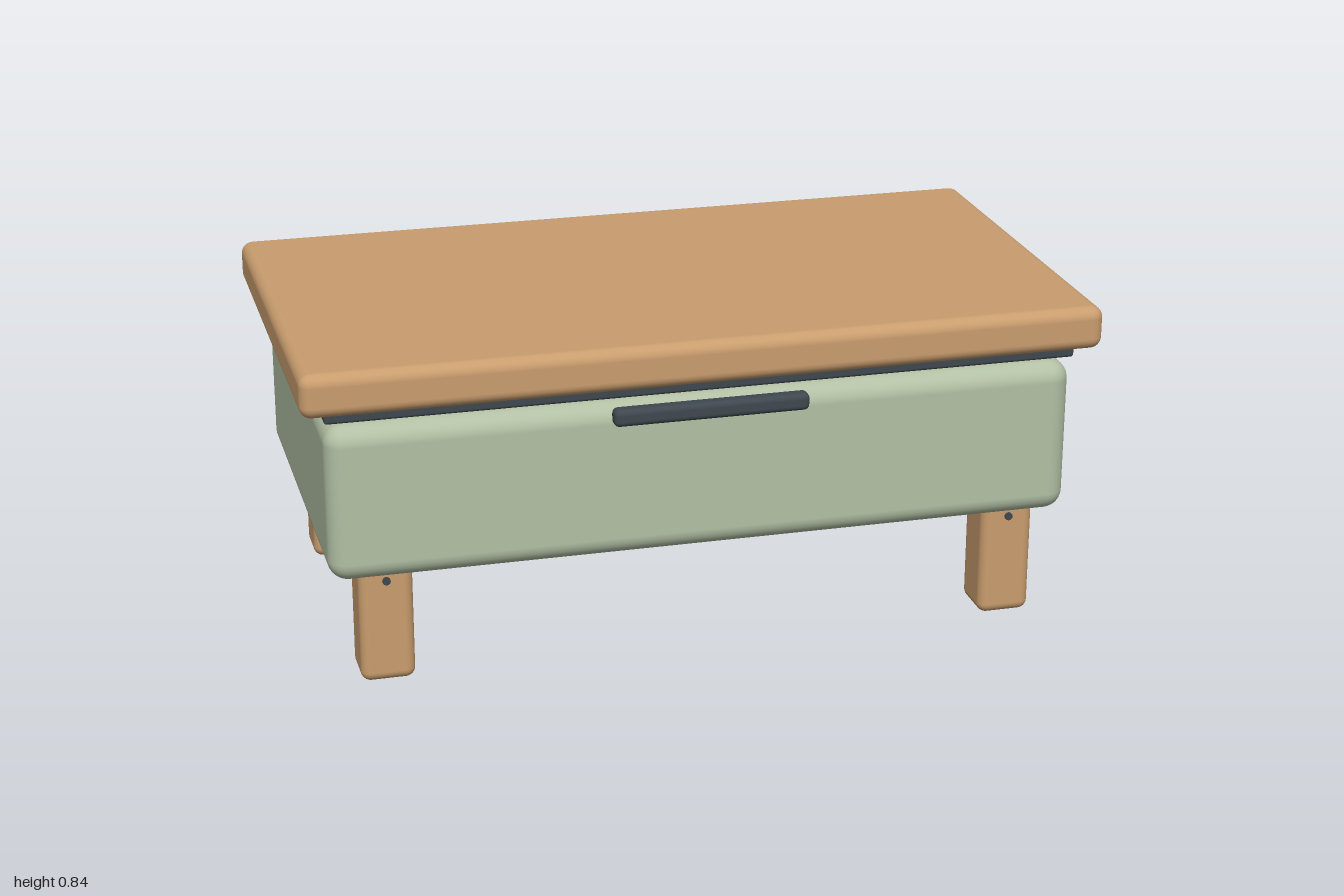
import * as THREE from 'three';
import { RoundedBoxGeometry } from 'three/addons/geometries/RoundedBoxGeometry.js';

export function createModel() {
  const model = new THREE.Group();
  model.name = 'storageTable';

  const material = (name, color) => {
    const m = new THREE.MeshStandardMaterial({ color });
    m.name = name;
    return m;
  };
  const wood = material('warm wood', 0xc99d6e);
  const sage = material('sage green', 0xb2c0a4);
  const metal = material('dark metal', 0x3f474f);

  // Rounded block given by its centre and full size
  const block = (name, mat, [x, y, z], [w, h, d], radius) => {
    const mesh = new THREE.Mesh(new RoundedBoxGeometry(w, h, d, 4, radius), mat);
    mesh.name = name;
    mesh.position.set(x, y, z);
    model.add(mesh);
    return mesh;
  };

  // Lid, its under-frame and the storage body
  block('tableTop', wood, [0, 0.785, 0], [2, 0.11, 1.09], 0.03);
  block('lidFrame', metal, [0, 0.718, 0], [1.88, 0.035, 1], 0.008);
  block('storageBody', sage, [0, 0.485, 0], [1.88, 0.4, 1], 0.05);

  // Front pull
  block('handle', metal, [0, 0.658, 0.51], [0.49, 0.044, 0.042], 0.014);

  for (const side of [-1, 1]) {
    const label = side > 0 ? 'Left' : 'Right';
    // Hinges at the back edge of the lid
    block('hinge' + label, metal, [side * 0.655, 0.71, -0.496], [0.2, 0.042, 0.052], 0.012);

    for (const end of [-1, 1]) {
      // Legs run a little way into the body
      const place = (end > 0 ? 'front' : 'back') + label;
      block(place + 'Leg', wood, [side * 0.8, 0.16, end * 0.393], [0.135, 0.32, 0.135], 0.025);

      // Screw head on the forward face of each leg
      const screw = new THREE.Mesh(new THREE.CylinderGeometry(0.01, 0.01, 0.012, 16), metal);
      screw.name = place + 'Screw';
      screw.rotation.x = Math.PI / 2;
      screw.position.set(side * 0.8, 0.27, end * 0.393 + 0.068);
      model.add(screw);
    }
  }
  return model;
}
